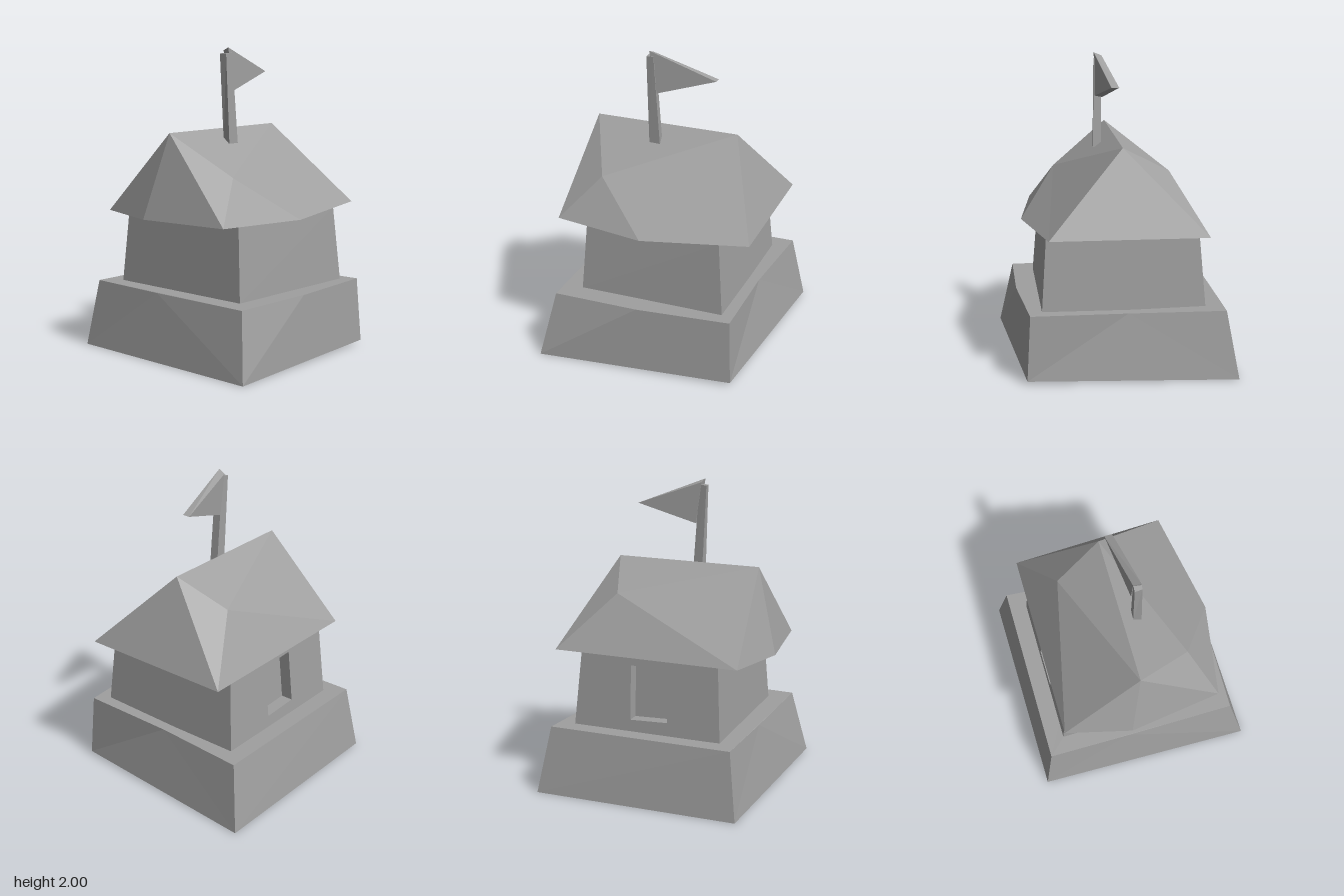
import * as THREE from 'three';

const material = new THREE.MeshStandardMaterial({ color: 0x9f9f9f, flatShading: true });

// Faceted mesh from corner points and polygons, each polygon fanned from its first corner
function solid(name, points, polygons) {
  const position = [];
  for (const p of polygons) {
    for (let i = 1; i < p.length - 1; i++) {
      position.push(...points[p[0]], ...points[p[i]], ...points[p[i + 1]]);
    }
  }
  const geometry = new THREE.BufferGeometry();
  geometry.setAttribute('position', new THREE.Float32BufferAttribute(position, 3));
  geometry.computeVertexNormals();
  const mesh = new THREE.Mesh(geometry, material);
  mesh.name = name;
  return mesh;
}

// Closed prism between two matching rings, counter-clockwise seen from the second
function loft(name, start, end) {
  const n = start.length;
  const ids = [...start.keys()];
  const polygons = [[...ids].reverse(), ids.map((i) => i + n)];
  for (const i of ids) {
    const j = (i + 1) % n;
    polygons.push([i, j, j + n, i + n]);
  }
  return solid(name, [...start, ...end], polygons);
}

// Sloped plinth with slightly crooked edges
function createBase() {
  return solid('base', [
    [-0.72, 0, 0.66], [0.725, 0, 0.685], [0.62, 0.02, -0.62], [-0.73, 0, -0.71],
    [-0.655, 0.44, 0.6], [0.635, 0.435, 0.595], [0.595, 0.445, -0.6], [-0.655, 0.44, -0.635],
    [0.645, 0.44, 0.02], [-0.03, 0.435, -0.59], [-0.1, 0.435, 0.6],
  ], [
    [3, 2, 1, 0],
    [10, 4, 0, 1, 5],
    [8, 5, 1, 2, 6],
    [9, 6, 2, 3, 7],
    [3, 0, 4, 7],
    [4, 10, 5, 8, 6, 9, 7],
  ]);
}

// Tapered walls with a recessed window in one side
function createWalls() {
  const points = [
    [-0.54, 0.43, 0.49], [0.5, 0.43, 0.465], [0.515, 0.43, -0.52], [-0.54, 0.43, -0.52],
    [-0.5, 0.93, 0.46], [0.46, 0.93, 0.435], [0.48, 0.93, -0.48], [-0.5, 0.93, -0.48],
  ];
  const opening = [[0.515, -0.125], [0.525, 0.13], [0.88, 0.12], [0.87, -0.13]];
  for (const depth of [0, 0.08]) {
    for (const [y, z] of opening) points.push([-0.54 + 0.08 * (y - 0.43) + depth, y, z]);
  }
  const polygons = [[0, 1, 5, 4], [1, 2, 6, 5], [2, 3, 7, 6], [4, 5, 6, 7], [3, 2, 1, 0], [12, 13, 14, 15]];
  const wall = [3, 0, 4, 7];
  for (let i = 0; i < 4; i++) {
    const j = (i + 1) % 4;
    polygons.push([wall[i], wall[j], 8 + j, 8 + i]); // wall around the opening
    polygons.push([8 + i, 8 + j, 12 + j, 12 + i]); // window reveal
  }
  return solid('wallsWithWindow', points, polygons);
}

// Hipped roof: eave ring, two ridge ends and one kink on each slope
function createRoof() {
  return solid('roof', [
    [-0.54, 0.93, 0.6], [-0.11, 0.925, 0.705], [0.505, 0.925, 0.62],
    [0.605, 0.92, 0.01], [0.48, 0.95, -0.68], [-0.54, 0.93, -0.65],
    [-0.02, 1.47, 0.555], [-0.015, 1.47, -0.42],
    [0.355, 1.2, 0.37], [-0.33, 1.29, -0.3],
  ], [
    [0, 1, 6], [1, 2, 6],
    [2, 8, 6], [2, 3, 8], [3, 4, 8], [4, 7, 8], [8, 7, 6],
    [4, 5, 7],
    [5, 9, 7], [5, 0, 9], [0, 6, 9], [9, 6, 7],
    [5, 4, 3, 2, 1, 0],
  ]);
}

// Leaning square pole
function createPole() {
  return loft('flagPole',
    [[0.055, 1.385, 0.135], [0.11, 1.38, 0.14], [0.115, 1.38, 0.065], [0.06, 1.385, 0.07]],
    [[0.05, 1.96, 0.165], [0.1, 1.96, 0.16], [0.105, 1.965, 0.11], [0.055, 1.965, 0.115]]);
}

// Thick triangular pennant
function createFlag() {
  return loft('flag',
    [[0.05, 1.98, 0.13], [0.05, 1.71, 0.09], [-0.01, 1.83, -0.29]],
    [[0.1, 2, 0.14], [0.1, 1.72, 0.09], [0.04, 1.83, -0.29]]);
}

export function createModel() {
  const model = new THREE.Group();
  model.name = 'hutWithFlag';
  model.add(createBase(), createWalls(), createRoof(), createPole(), createFlag());
  return model;
}
